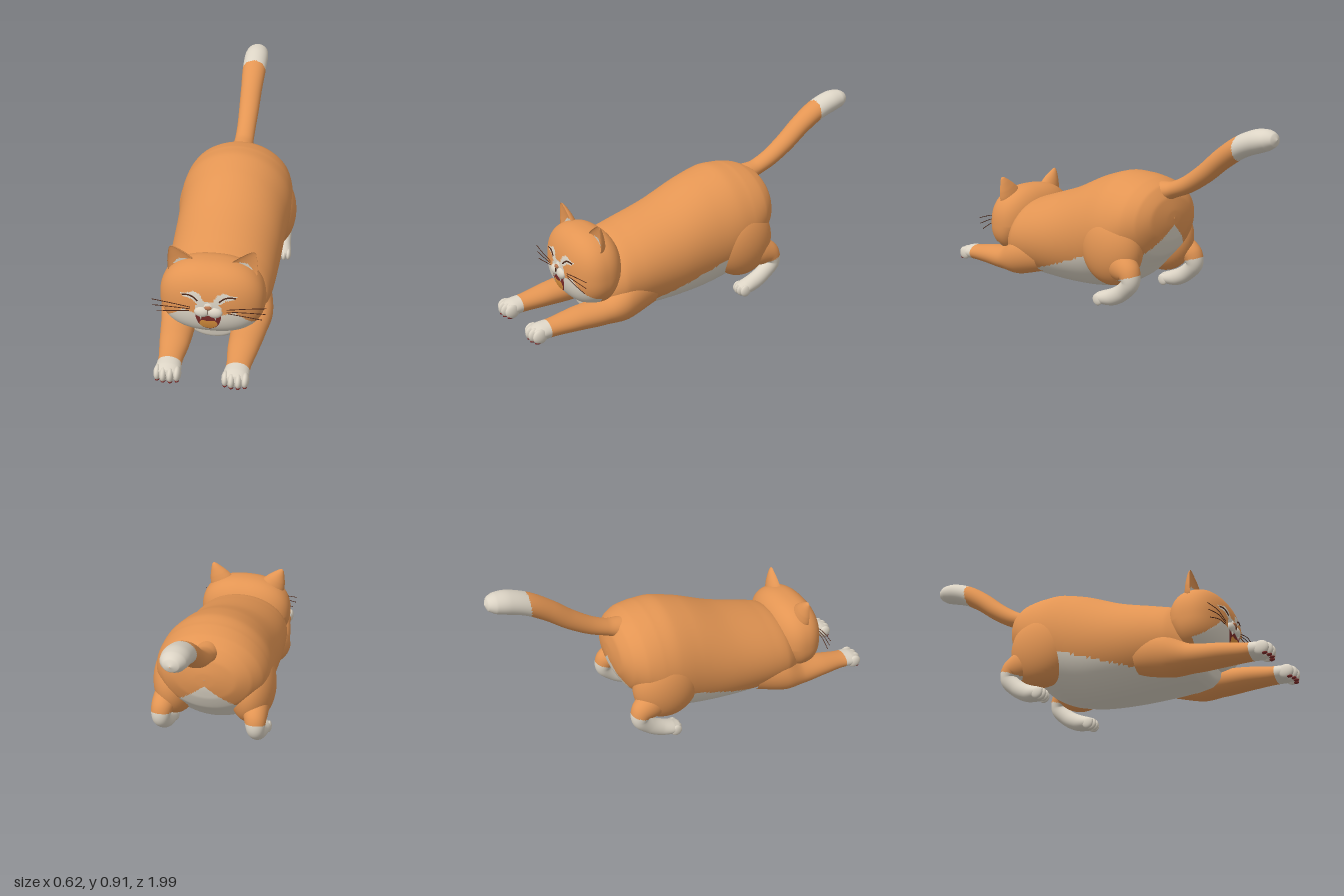
import * as THREE from 'three';
import { mergeVertices } from 'three/addons/utils/BufferGeometryUtils.js';

const mat = (name, color, side = THREE.FrontSide) => {
  const m = new THREE.MeshStandardMaterial({ color, side });
  m.name = name;
  return m;
};

// Smooth skin through sections [x, y, z, radiusX, radiusY]; upright keeps rings vertical
function loft(sections, steps, around, upright = false) {
  const centres = new THREE.CatmullRomCurve3(sections.map(s => new THREE.Vector3(s[0], s[1], s[2])));
  const radii = new THREE.CatmullRomCurve3(sections.map(s => new THREE.Vector3(s[3], s[4], 0)));
  const pos = [], idx = [], X = new THREE.Vector3(1, 0, 0);
  for (let i = 0; i <= steps; i++) {
    const c = centres.getPoint(i / steps), r = radii.getPoint(i / steps);
    const t = centres.getTangent(i / steps);
    if (upright) t.set(0, 0, Math.sign(t.z) || 1);
    const up = t.clone().cross(X).normalize();
    for (let j = 0; j < around; j++) {
      const a = j / around * Math.PI * 2;
      const p = c.clone().addScaledVector(X, Math.cos(a) * Math.max(r.x, 0.0005))
        .addScaledVector(up, Math.sin(a) * Math.max(r.y, 0.0005));
      pos.push(p.x, p.y, p.z);
      if (i < steps) {
        const k = (j + 1) % around, A = i * around, B = A + around;
        idx.push(A + j, A + k, B + j, A + k, B + k, B + j);
      }
    }
  }
  const g = new THREE.BufferGeometry();
  g.setAttribute('position', new THREE.Float32BufferAttribute(pos, 3));
  g.setIndex(idx);
  g.computeVertexNormals();
  return g;
}

// Sort faces into two material groups by a rule on the face centre
function paint(g, isSecond) {
  const p = g.attributes.position, src = g.index.array, sets = [[], []];
  for (let i = 0; i < src.length; i += 3) {
    const f = [src[i], src[i + 1], src[i + 2]];
    const mean = k => f.reduce((sum, v) => sum + p.getComponent(v, k), 0) / 3;
    sets[isSecond(mean(0), mean(1), mean(2)) ? 1 : 0].push(...f);
  }
  g.setIndex([...sets[0], ...sets[1]]);
  g.addGroup(0, sets[0].length, 0);
  g.addGroup(sets[0].length, sets[1].length, 1);
  return g;
}

function inside(poly, x, y) {
  let hit = false;
  for (let i = 0, j = poly.length - 1; i < poly.length; j = i++) {
    const [ax, ay] = poly[i], [bx, by] = poly[j];
    if ((ay > y) !== (by > y) && x < (bx - ax) * (y - ay) / (by - ay) + ax) hit = !hit;
  }
  return hit;
}

// Head shape: a rounded box-like ellipsoid
const HEAD = { y: 0.27, z: 0.605, rx: 0.248, up: 0.2, down: 0.172, rz: 0.14, n: 2.4 };
function faceZ(x, y) {
  const Y = (y - HEAD.y) / (y > HEAD.y ? HEAD.up : HEAD.down);
  const k = 1 - Math.abs(x / HEAD.rx) ** HEAD.n - Math.abs(Y) ** HEAD.n;
  return HEAD.z + HEAD.rz * Math.max(k, 0) ** (1 / HEAD.n);
}
function headGeometry() {
  let g = new THREE.SphereGeometry(1, 180, 120);
  g.deleteAttribute('uv');
  g.deleteAttribute('normal');
  g = mergeVertices(g, 1e-5);
  const p = g.attributes.position, v = new THREE.Vector3();
  for (let i = 0; i < p.count; i++) {
    v.fromBufferAttribute(p, i);
    const n = HEAD.n;
    v.multiplyScalar((Math.abs(v.x) ** n + Math.abs(v.y) ** n + Math.abs(v.z) ** n) ** (-1 / n));
    const lean = v.y < 0 && v.z < 0 ? 0.08 * v.y * v.z : 0;
    p.setXYZ(i, v.x * HEAD.rx, HEAD.y + v.y * (v.y > 0 ? HEAD.up : HEAD.down), HEAD.z + v.z * HEAD.rz + lean);
  }
  g.computeVertexNormals();
  return g;
}

// Thin plate lying on the face, filled from a centre to a closed smooth outline
function facePlate(outline, cx, cy, lift) {
  const curve = new THREE.CatmullRomCurve3(outline.map(o => new THREE.Vector3(o[0], o[1], 0)), true);
  const rings = 8, n = 48, pos = [], idx = [];
  for (let i = 0; i <= rings; i++) for (let j = 0; j < n; j++) {
    const q = curve.getPoint(j / n), s = i / rings;
    const x = cx + (q.x - cx) * s, y = cy + (q.y - cy) * s, k = (j + 1) % n;
    pos.push(x, y, faceZ(x, y) + lift);
    if (i < rings) idx.push(i * n + j, (i + 1) * n + j, i * n + k, i * n + k, (i + 1) * n + j, (i + 1) * n + k);
  }
  const g = new THREE.BufferGeometry();
  g.setAttribute('position', new THREE.Float32BufferAttribute(pos, 3));
  g.setIndex(idx);
  g.computeVertexNormals();
  return g;
}

export function createModel() {
  const cat = new THREE.Group();
  cat.name = 'stretchingCat';
  const orange = mat('orangeFur', 0xe39553), white = mat('whiteFur', 0xdcd4c5);
  const red = mat('mouthRed', 0x7c2c2a, THREE.DoubleSide), tongueMat = mat('tongueOrange', 0xe0943f, THREE.DoubleSide);
  const dark = mat('darkBrown', 0x4a2618), noseMat = mat('noseBrown', 0xb8764f);
  const fur = [orange, white];
  const add = (name, g, m, parent = cat) => {
    const mesh = new THREE.Mesh(g, m);
    mesh.name = name;
    parent.add(mesh);
    return mesh;
  };
  const ball = (name, m, x, y, z, rx, ry, rz, seg = 20) => {
    const b = add(name, new THREE.SphereGeometry(1, seg, Math.ceil(seg * 0.7)), m);
    b.position.set(x, y, z);
    b.scale.set(rx, ry, rz);
    return b;
  };

  // Body: [z, top, bottom, half width]
  const body = [[0.645, 0.14, 0.12, 0.01], [0.63, 0.22, 0.05, 0.12], [0.58, 0.33, 0.02, 0.2], [0.5, 0.41, 0.012, 0.25],
    [0.4, 0.445, 0.008, 0.263], [0.2, 0.51, 0.005, 0.272], [0, 0.597, 0.02, 0.28], [-0.12, 0.632, 0.05, 0.29],
    [-0.22, 0.632, 0.1, 0.287], [-0.3, 0.617, 0.18, 0.265], [-0.36, 0.59, 0.24, 0.22], [-0.4, 0.535, 0.32, 0.15],
    [-0.415, 0.47, 0.39, 0.05], [-0.417, 0.435, 0.43, 0.002]]
    .map(([z, t, b, w]) => [0, (t + b) / 2, z, w, (t - b) / 2]);
  const bellyLine = z => z > 0.2 ? 0.13 - (z - 0.2) * 0.34 : Math.min(0.13 + (0.2 - z) * 0.38, 0.26);
  add('body', paint(loft(body, 120, 110, true), (x, y, z) => {
    const ax = Math.abs(x);
    if (z > 0.45) return ax < 0.19 && y < 0.2;
    if (z < -0.25) return ax < (0.4 - y) * 1.1 && ax < 0.2;
    return y < bellyLine(z);
  }), fur);

  // Tail with white tip
  add('tail', paint(loft([[0, 0.55, -0.34, 0.06, 0.055], [0, 0.575, -0.42, 0.05, 0.04], [0, 0.61, -0.5, 0.05, 0.043],
    [0, 0.675, -0.6, 0.054, 0.047], [0, 0.755, -0.7, 0.058, 0.05], [0, 0.82, -0.8, 0.064, 0.053],
    [0, 0.855, -0.89, 0.065, 0.055], [0, 0.867, -0.95, 0.058, 0.048], [0, 0.87, -0.985, 0.036, 0.03],
    [0, 0.871, -0.998, 0.002, 0.002]], 110, 40), (x, y, z) => z < -0.795), fur);

  // Head with white cheeks, muzzle and eye patches
  const cheek = [[-0.01, 0.32], [0.04, 0.315], [0.062, 0.29], [0.06, 0.25], [0.09, 0.258], [0.12, 0.266],
    [0.16, 0.23], [0.225, 0.165], [0.19, 0.12], [0.1, 0.05], [-0.01, 0.05]];
  const eyePatch = [[0.02, 0.315], [0.04, 0.352], [0.07, 0.364], [0.1, 0.352], [0.132, 0.345], [0.12, 0.332],
    [0.08, 0.326], [0.055, 0.305]];
  add('head', paint(headGeometry(), (x, y, z) => z > 0.625 &&
    (inside(cheek, Math.abs(x), y) || inside(eyePatch, Math.abs(x), y))), fur);

  // Open mouth, tongue and nose
  add('mouth', facePlate([[0, 0.245], [0.03, 0.24], [0.058, 0.25], [0.054, 0.215], [0.035, 0.178], [0, 0.16],
    [-0.035, 0.178], [-0.054, 0.215], [-0.058, 0.25], [-0.03, 0.24]], 0, 0.21, 0.004), red);
  add('tongue', facePlate([[0, 0.216], [0.03, 0.22], [0.042, 0.2], [0.028, 0.176], [0, 0.167],
    [-0.028, 0.176], [-0.042, 0.2], [-0.03, 0.22]], 0, 0.195, 0.007), tongueMat);
  ball('noseBridge', white, 0, 0.283, 0.738, 0.026, 0.03, 0.015);
  ball('nose', noseMat, 0, 0.29, 0.751, 0.017, 0.01, 0.009);
  ball('philtrum', dark, 0, 0.272, 0.757, 0.002, 0.012, 0.004, 8);

  for (const s of [1, -1]) {
    const side = s > 0 ? 'left' : 'right';
    ball(side + 'Muzzle', white, s * 0.03, 0.262, 0.742, 0.036, 0.027, 0.02, 28);

    // Fang
    const fang = add(side + 'Fang', new THREE.ConeGeometry(0.006, 0.02, 10), white);
    fang.position.set(s * 0.034, 0.232, 0.75);
    fang.rotation.x = Math.PI;

    // Closed smiling eye
    const lid = [[0.05, 0.32], [0.07, 0.336], [0.09, 0.343], [0.125, 0.34]]
      .map(([x, y]) => new THREE.Vector3(s * x, y, faceZ(x, y) + 0.001));
    add(side + 'Eye', new THREE.TubeGeometry(new THREE.CatmullRomCurve3(lid), 20, 0.0035, 8), dark);

    // Whiskers
    for (const [x0, y0, x1, y1] of [[0.085, 0.28, 0.265, 0.3], [0.085, 0.27, 0.262, 0.268], [0.09, 0.26, 0.245, 0.235]]) {
      const mid = new THREE.Vector3(s * (x0 + x1) / 2, (y0 + y1) / 2 + 0.006, 0.742);
      const path = new THREE.CatmullRomCurve3([new THREE.Vector3(s * x0, y0, faceZ(x0, y0)), mid,
        new THREE.Vector3(s * x1, y1, 0.73)]);
      add(side + 'Whisker', new THREE.TubeGeometry(path, 16, 0.0018, 6), dark);
    }

    // Ear: cupped by pressing its front half backward
    const earGeo = loft([[0, -0.04, 0, 0.068, 0.05], [0, 0, 0, 0.066, 0.048], [0, 0.04, 0, 0.05, 0.038],
      [0, 0.08, 0, 0.026, 0.022], [0, 0.1, 0, 0.012, 0.01], [0, 0.107, 0, 0.001, 0.001]], 40, 48);
    const ep = earGeo.attributes.position;
    const frontFace = new Set();
    for (let i = 0; i < ep.count; i++) if (ep.getZ(i) > 0) {
      frontFace.add(i);
      ep.setZ(i, ep.getZ(i) * -0.35);
    }
    earGeo.computeVertexNormals();
    paint(earGeo, (x, y, z) => Math.abs(x) < 0.034 && y < 0.028 - Math.abs(x) * 0.4 && z > -0.02);
    const ear = add(side + 'Ear', earGeo, fur);
    ear.position.set(s * 0.148, 0.43, 0.622);
    ear.rotation.z = -s * 0.447;

    // Front leg, stretched forward
    add(side + 'FrontLeg', paint(loft([[0.16, 0.16, 0.33, 0.08, 0.1], [0.175, 0.125, 0.48, 0.095, 0.105],
      [0.17, 0.088, 0.6, 0.084, 0.068], [0.161, 0.076, 0.75, 0.071, 0.054], [0.157, 0.065, 0.87, 0.056, 0.042],
      [0.155, 0.06, 0.93, 0.06, 0.039], [0.155, 0.056, 0.965, 0.05, 0.03], [0.155, 0.055, 0.975, 0.002, 0.002]]
      .map(r => [s * r[0], ...r.slice(1)]), 90, 44, true), (x, y, z) => z > 0.89), fur);
    [-0.045, -0.016, 0.016, 0.045].forEach((d, i) => {
      const z = i % 3 ? 0.955 : 0.945;
      ball(side + 'FrontToe', white, s * 0.155 + d, 0.055, z, 0.018, 0.035, 0.036);
      ball(side + 'FrontPad', red, s * 0.155 + d, 0.028, z + 0.012, 0.011, 0.007, 0.017, 12);
    });

    // Hind leg: round thigh, then a shank folding forward into the foot
    ball(side + 'Thigh', orange, s * 0.193, 0.285, -0.185, 0.117, 0.19, 0.175, 48);
    add(side + 'HindLeg', paint(loft([[0.2, 0.25, -0.2, 0.08, 0.1], [0.222, 0.215, -0.28, 0.07, 0.08],
      [0.235, 0.19, -0.335, 0.056, 0.058], [0.24, 0.145, -0.35, 0.046, 0.043], [0.24, 0.09, -0.3, 0.04, 0.042],
      [0.24, 0.055, -0.24, 0.042, 0.042], [0.243, 0.04, -0.18, 0.046, 0.035], [0.243, 0.036, -0.145, 0.036, 0.025],
      [0.243, 0.035, -0.135, 0.002, 0.002]].map(r => [s * r[0], ...r.slice(1)]), 90, 40),
    (x, y, z) => y < 0.11 - (z + 0.17) * 0.35), fur);
    [-0.034, -0.012, 0.012, 0.034].forEach((d, i) =>
      ball(side + 'HindToe', white, s * 0.243 + d, 0.033, i % 3 ? -0.158 : -0.166, 0.014, 0.03, 0.03));
  }
  return cat;
}
